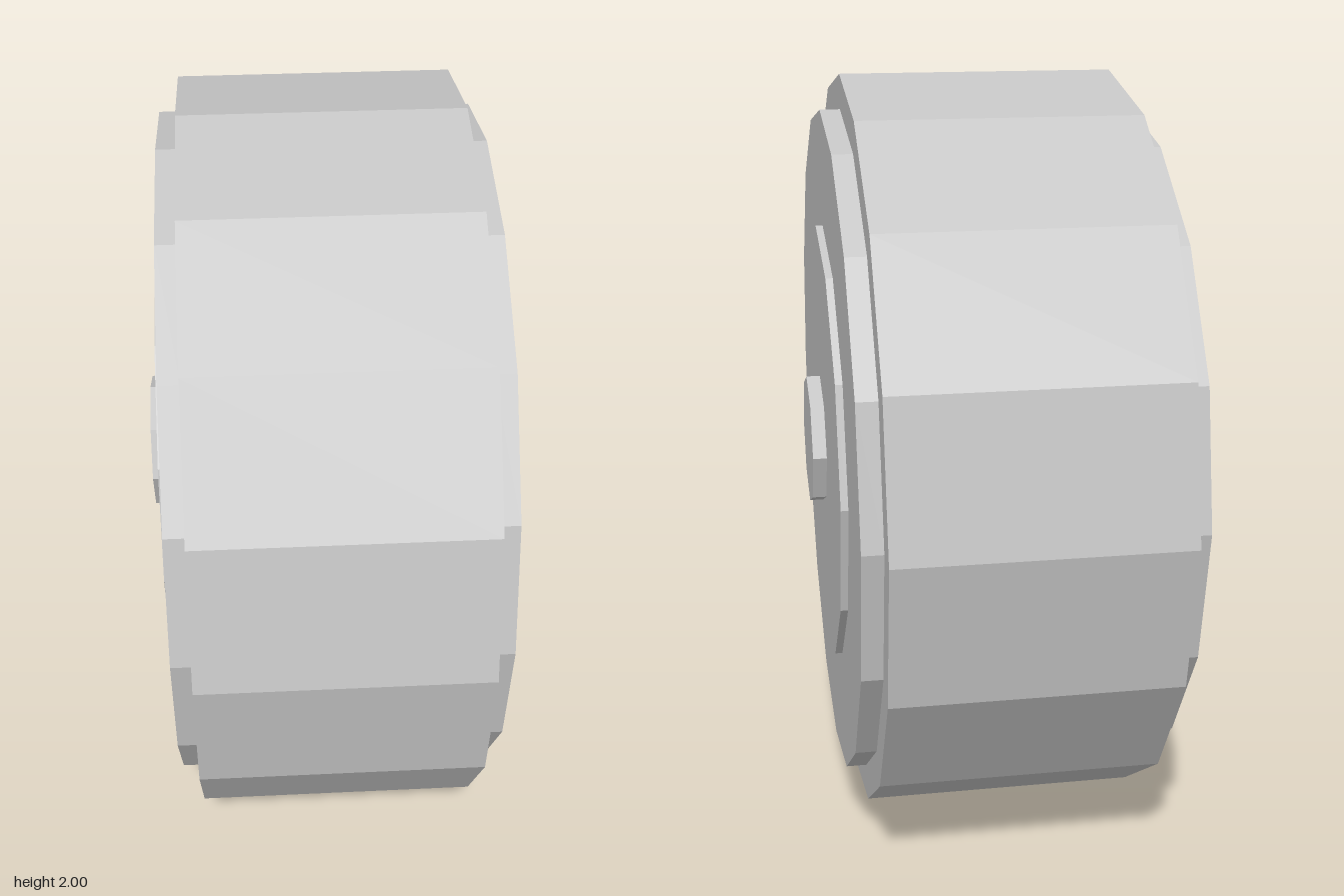
import * as THREE from 'three';

export function createModel() {
  const group = new THREE.Group();
  const grey = new THREE.MeshStandardMaterial({ color: 0xc6c6c6, flatShading: true });

  // Faceted disc lying along x, between x0 and x1
  function disc(name, radius, x0, x1, sides) {
    const geometry = new THREE.CylinderGeometry(radius, radius, x1 - x0, sides);
    geometry.rotateZ(-Math.PI / 2);
    const mesh = new THREE.Mesh(geometry, grey);
    mesh.name = name;
    mesh.position.set((x0 + x1) / 2, 1, 0);
    group.add(mesh);
  }

  // Wide tread
  disc('tread', 1, -0.363, 0.363, 16);

  // Stepped discs on both sides: sidewall, wheel disc and hub cap
  const steps = [
    ['Sidewall', 0.908, 0.363, 0.417, 16],
    ['WheelDisc', 0.6, 0.417, 0.436, 12],
    ['HubCap', 0.181, 0.436, 0.473, 8],
  ];
  for (const [name, radius, inner, outer, sides] of steps) {
    disc('left' + name, radius, inner, outer, sides);
    disc('right' + name, radius, -outer, -inner, sides);
  }
  return group;
}
